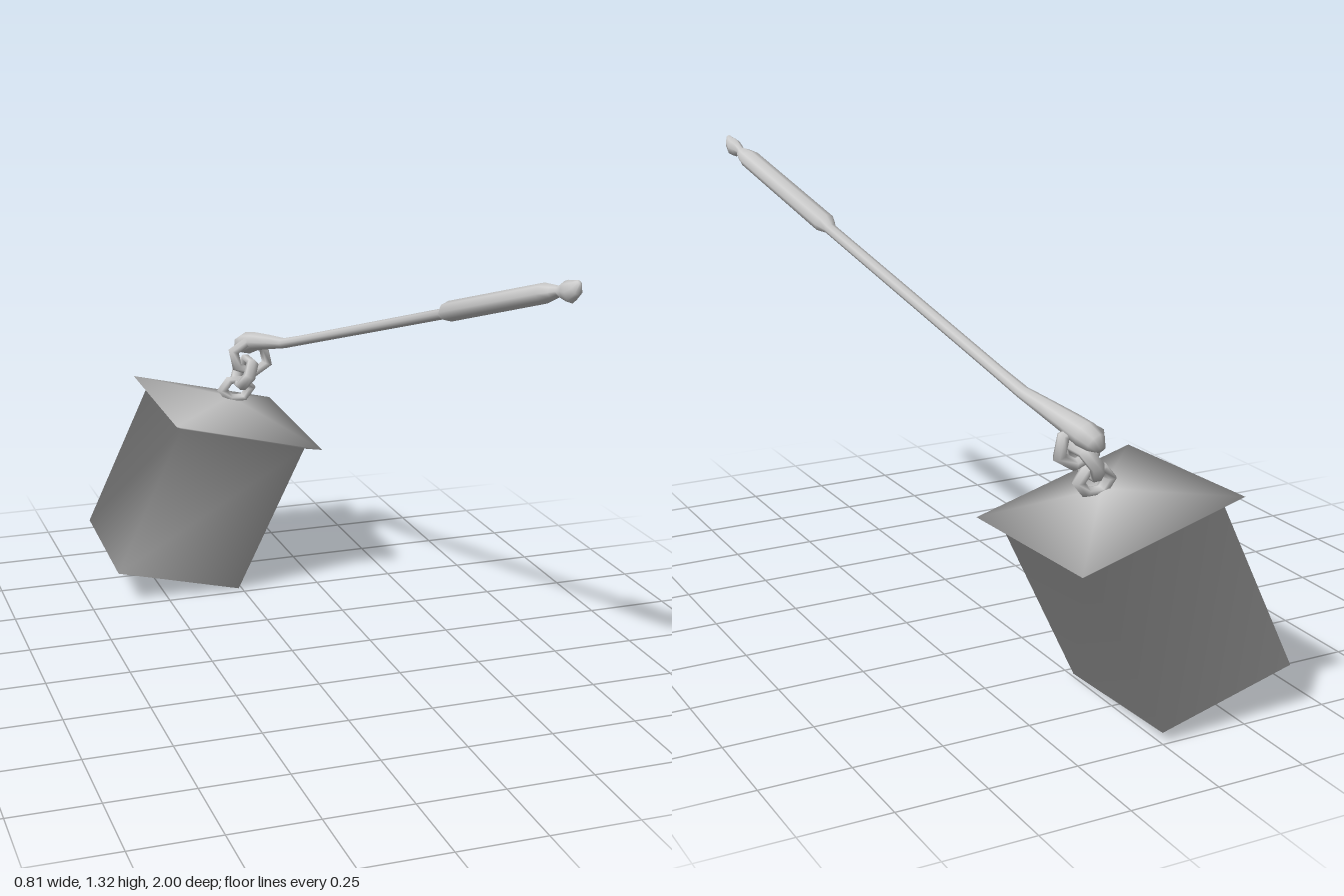
import * as THREE from 'three';

const material = new THREE.MeshStandardMaterial({ color: 0xcccccc });
const V = (x, y, z) => new THREE.Vector3(x, y, z);

// Smooth normals, each face weighted by its angle at the corner.
function smoothNormals(points, index) {
  const normals = points.map(() => V(0, 0, 0));
  for (let i = 0; i < index.length; i += 3) {
    const tri = index.slice(i, i + 3);
    for (let k = 0; k < 3; k++) {
      const p = points[tri[k]];
      const e1 = points[tri[(k + 1) % 3]].clone().sub(p);
      const e2 = points[tri[(k + 2) % 3]].clone().sub(p);
      normals[tri[k]].addScaledVector(e1.clone().cross(e2).normalize(), e1.angleTo(e2));
    }
  }
  return normals.map(n => n.normalize());
}

// Closed smooth skin over rings of points that run counter-clockwise about the path.
function skin(name, rings, endPoint) {
  const n = rings[0].length, last = rings.length - 1;
  const c0 = n * rings.length, c1 = c0 + 1, index = [];
  const centre = ring => ring.reduce((s, p) => s.add(p), V(0, 0, 0)).divideScalar(n);
  const points = [...rings.flat(), centre(rings[0]), endPoint || centre(rings[last])];
  for (let j = 0; j < n; j++) {
    const k = (j + 1) % n;
    for (let i = 0; i < last; i++) {
      const a = i * n + j, b = i * n + k;
      index.push(a, b, b + n, a, b + n, a + n);
    }
    index.push(c0, k, j, c1, last * n + j, last * n + k);
  }
  const flat = list => new THREE.Float32BufferAttribute(list.flatMap(p => p.toArray()), 3);
  const geometry = new THREE.BufferGeometry();
  geometry.setAttribute('position', flat(points));
  geometry.setAttribute('normal', flat(smoothNormals(points, index)));
  geometry.setIndex(index);
  const mesh = new THREE.Mesh(geometry, material);
  mesh.name = name;
  return mesh;
}

// Oval rod through stations [x, y, z, half width, half height].
function rod(name, stations, sides) {
  const points = stations.map(s => V(s[0], s[1], s[2]));
  const rings = stations.map(([, , , w, h], i) => {
    const t = points[Math.min(i + 1, points.length - 1)].clone()
      .sub(points[Math.max(i - 1, 0)]).normalize();
    const side = V(0, 1, 0).cross(t).normalize();
    const up = t.clone().cross(side);
    return Array.from({ length: sides }, (_, j) => {
      const a = (j / sides) * Math.PI * 2;
      return points[i].clone().addScaledVector(side, w * Math.cos(a)).addScaledVector(up, h * Math.sin(a));
    });
  });
  return skin(name, rings);
}

// Coarse oval chain link.
function link(name, position, width, height, turn, tilt) {
  const tube = 0.019;
  const geometry = new THREE.TorusGeometry(width - tube, tube, 6, 6);
  geometry.scale(1, height / width, 1.1);
  const mesh = new THREE.Mesh(geometry, material);
  mesh.name = name;
  mesh.position.set(...position);
  mesh.rotation.set(0, turn, tilt, 'ZYX');
  return mesh;
}

export function createModel() {
  const group = new THREE.Group();

  // Tilted lantern in one smooth skin: box, overhanging eave, shallow peak
  const bottom = [V(-0.41, 0.105, -0.525), V(-0.01, 0.003, -0.53), V(-0.005, 0.03, -0.99), V(-0.405, 0.13, -0.98)];
  const top = [V(-0.205, 0.58, -0.48), V(0.2, 0.475, -0.485), V(0.2, 0.5, -0.945), V(-0.2, 0.6, -0.94)];
  const eave = [V(-0.235, 0.605, -0.428), V(0.247, 0.478, -0.445), V(0.245, 0.503, -1), V(-0.238, 0.625, -0.98)];
  group.add(skin('lantern', [bottom, top, eave], V(0.02, 0.605, -0.71)));

  // Three interlocking links
  const chain = new THREE.Group();
  chain.name = 'chain';
  chain.add(
    link('lowerLink', [0.04, 0.63, -0.705], 0.066, 0.048, 0, 0),
    link('middleLink', [0.065, 0.685, -0.7], 0.079, 0.062, Math.PI / 2, -0.5),
    link('upperLink', [0.088, 0.732, -0.705], 0.08, 0.066, 0, -0.4)
  );
  group.add(chain);

  // Pole: drooping head, thin shaft, thick grip and pointed knob
  group.add(rod('pole', [
    [0.075, 0.742, -0.797, 0.014, 0.01],
    [0.082, 0.757, -0.78, 0.031, 0.029],
    [0.092, 0.771, -0.745, 0.038, 0.036],
    [0.106, 0.788, -0.69, 0.036, 0.029],
    [0.122, 0.806, -0.6, 0.029, 0.023],
    [0.139, 0.825, -0.5, 0.022, 0.016],
    [0.156, 0.856, -0.4, 0.02, 0.015],
    [0.294, 1.113, 0.405, 0.02, 0.015],
    [0.299, 1.126, 0.435, 0.035, 0.028],
    [0.37, 1.262, 0.86, 0.035, 0.026],
    [0.375, 1.273, 0.9, 0.024, 0.018],
    [0.378, 1.278, 0.915, 0.013, 0.013],
    [0.382, 1.283, 0.94, 0.017, 0.025],
    [0.385, 1.286, 0.962, 0.02, 0.029],
    [0.388, 1.3, 0.985, 0.015, 0.021],
    [0.39, 1.316, 0.996, 0.005, 0.007]
  ], 8));

  return group;
}
